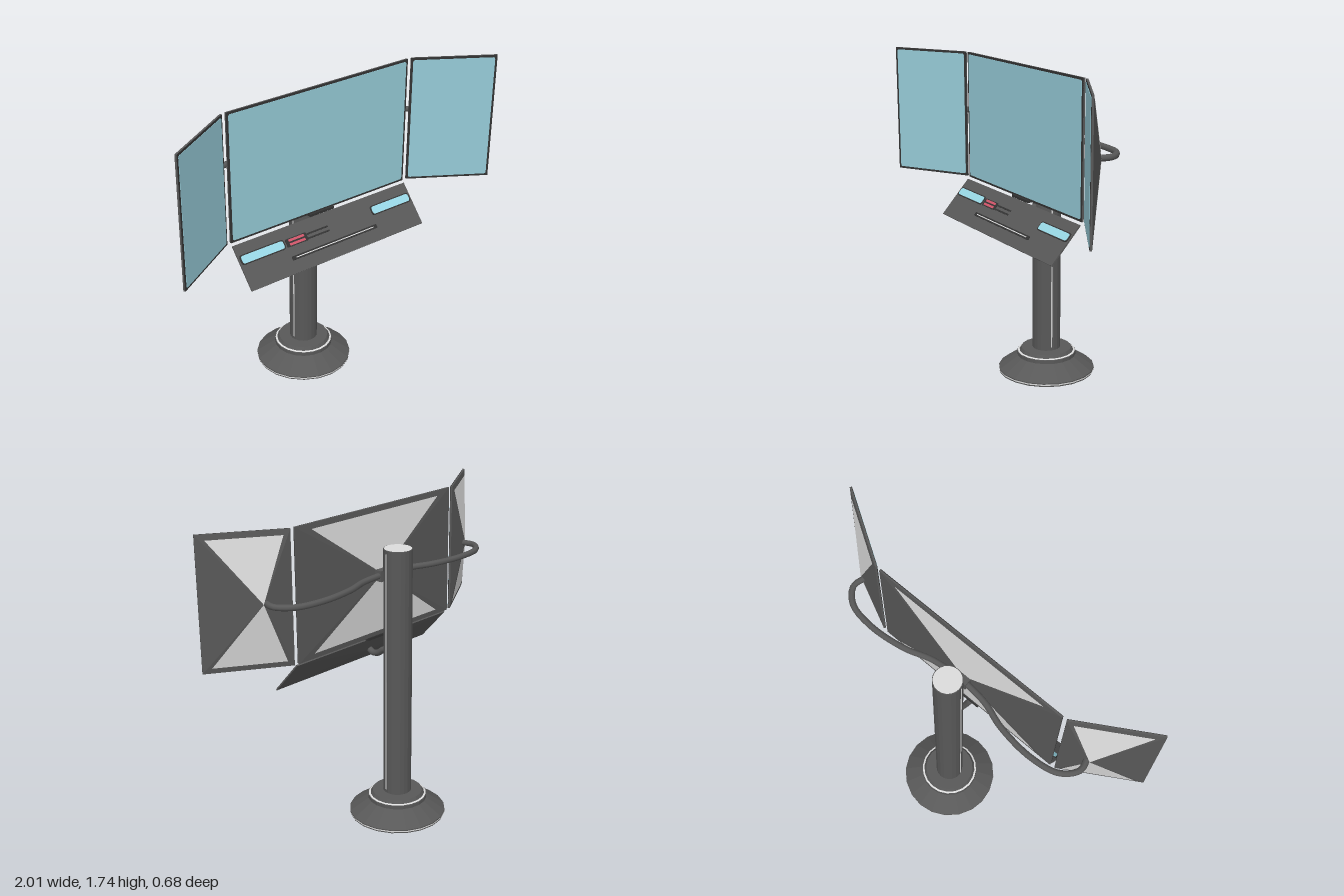
import * as THREE from 'three';

const mat = (name, color, side = THREE.FrontSide) => {
  const m = new THREE.MeshStandardMaterial({ color, side });
  m.name = name;
  return m;
};

export function createModel() {
  const root = new THREE.Group();
  root.name = 'monitorStand';
  const body = mat('dark grey', 0x585858);
  const trim = mat('black grey', 0x333333);
  const light = mat('light grey', 0xdcdcdc, THREE.DoubleSide);
  const screen = mat('screen blue', 0x96cbd7);
  const lamp = mat('lamp blue', 0x9bdcea);
  const red = mat('red', 0xd0566a);

  const add = (parent, name, geo, material, x = 0, y = 0, z = 0) => {
    const m = new THREE.Mesh(geo, material);
    m.name = name;
    m.position.set(x, y, z);
    parent.add(m);
    return m;
  };
  const flat = (geo) => {
    const g = geo.toNonIndexed();
    g.computeVertexNormals();
    return g;
  };
  const triangles = (points) => {
    const g = new THREE.BufferGeometry().setFromPoints(points);
    g.computeVertexNormals();
    return g;
  };
  // Rounded plate, centred, extruded along z
  const plate = (w, h, r, depth) => {
    const s = new THREE.Shape();
    const x = w / 2, y = h / 2;
    s.moveTo(-x + r, -y).lineTo(x - r, -y).quadraticCurveTo(x, -y, x, -y + r);
    s.lineTo(x, y - r).quadraticCurveTo(x, y, x - r, y);
    s.lineTo(-x + r, y).quadraticCurveTo(-x, y, -x, y - r);
    s.lineTo(-x, -y + r).quadraticCurveTo(-x, -y, -x + r, -y);
    return new THREE.ExtrudeGeometry(s, { depth, bevelEnabled: false, curveSegments: 4 });
  };

  // Thin slab whose back rises to a low pyramid; front face at local z = 0
  const slabCorners = (w, h, z) => [[-1, -1], [1, -1], [1, 1], [-1, 1]]
    .map(([x, y]) => new THREE.Vector3(x * w / 2, y * h / 2, z));
  const slab = (w, h, t, apex) => {
    const f = slabCorners(w, h, 0), b = slabCorners(w, h, -t);
    const pts = [f[0], f[1], f[2], f[0], f[2], f[3]];
    for (let i = 0; i < 4; i++) {
      const j = (i + 1) % 4;
      pts.push(f[i], b[i], b[j], f[i], b[j], f[j], b[i], apex, b[j]);
    }
    return triangles(pts);
  };

  // Monitor: housing, screen and two light triangles on the back
  const monitor = (name, w, h, apex) => {
    const g = new THREE.Group();
    g.name = name;
    const t = 0.01;
    add(g, 'housing', slab(w, h, t, apex), body);
    add(g, 'bezel', new THREE.BoxGeometry(w, h, 0.004), trim);
    add(g, 'screen', plate(w - 0.024, h - 0.024, 0.012, 0.003), screen, 0, 0, 0.001);
    const b = slabCorners(w, h, -t);
    const mix = (p, q) => new THREE.Vector3().addScaledVector(p, 0.87)
      .addScaledVector(q, 0.05).addScaledVector(apex, 0.08);
    for (const [i, j] of [[0, 1], [2, 3]]) {
      add(g, 'backTriangle', triangles([mix(b[i], b[j]), apex, mix(b[j], b[i])]), light, 0, 0, -0.002);
    }
    root.add(g);
    return g;
  };

  // Base and pole
  const zPole = -0.07;
  const profile = [[0, 0], [0.268, 0], [0.27, 0.02], [0.165, 0.092], [0.165, 0.112],
    [0.15, 0.117], [0.14, 0.135], [0, 0.137]].map(([r, y]) => new THREE.Vector2(r, y));
  add(root, 'base', flat(new THREE.LatheGeometry(profile, 20)), body, 0, 0, zPole);
  const ring = (name, r0, r1, y0, y1) => add(root, name, new THREE.LatheGeometry(
    [new THREE.Vector2(r0, y0), new THREE.Vector2(r1, y1)], 20), light, 0, 0, zPole);
  ring('baseRim', 0.271, 0.271, 0.008, 0.015);
  ring('collarRim', 0.162, 0.152, 0.1145, 0.118);
  add(root, 'pole', flat(new THREE.CylinderGeometry(0.078, 0.078, 1.41, 20)), body, 0, 0.84, zPole);
  const cap = add(root, 'poleCap', new THREE.CircleGeometry(0.074, 20), light, 0, 1.5465, zPole);
  cap.rotation.x = -Math.PI / 2;
  for (const s of [-1, 1]) {
    add(root, 'poleStripe', new THREE.BoxGeometry(0.004, 1.37, 0.006), light, s * 0.0765, 0.84, -0.056);
  }

  // Monitors
  monitor('mainMonitor', 1.154, 0.72, new THREE.Vector3(0, 0, -0.045)).position.set(0, 1.384, 0.09);
  for (const s of [-1, 1]) {
    const side = monitor(s > 0 ? 'leftMonitor' : 'rightMonitor', 0.468, 0.718,
      new THREE.Vector3(-s * 0.08, 0, -0.067));
    side.position.set(s * 0.8, 1.384, 0.2125);
    side.rotation.y = -s * 0.549;
  }

  // Arms
  const tube = (name, pts, r) => add(root, name, new THREE.TubeGeometry(
    new THREE.CatmullRomCurve3(pts.map((p) => new THREE.Vector3(...p))), 32, r, 8), body);
  for (const s of [-1, 1]) {
    tube('monitorArm', [[0, 0.03], [0.18, 0.008], [0.32, -0.037], [0.53, -0.06], [0.69, -0.03],
      [0.76, 0.05], [0.745, 0.125]].map(([x, z]) => [s * x, 1.385, z]), 0.017);
  }
  tube('consoleArm', [[0, 0.965, -0.02], [0, 0.955, 0.03], [0, 0.922, 0.08], [0, 0.915, 0.115],
    [0, 0.935, 0.155]], 0.018);
  add(root, 'mainMonitorMount', new THREE.BoxGeometry(0.1, 0.06, 0.05), body, 0, 1.385, 0.03);
  add(root, 'hinge', new THREE.BoxGeometry(0.16, 0.014, 0.03), trim, 0, 1.02, 0.088);

  // Tilted console with its controls
  const panel = new THREE.Group();
  panel.name = 'console';
  panel.position.set(0, 0.92, 0.187);
  panel.rotation.x = -0.737;
  root.add(panel);
  add(panel, 'consoleBody', slab(1.154, 0.25, 0.008, new THREE.Vector3(0, 0.03, -0.03)), body);
  for (const s of [-1, 1]) {
    add(panel, 'lampFrame', plate(0.278, 0.054, 0.018, 0.003), trim, s * 0.43, 0.04, 0);
    add(panel, 'lamp', plate(0.262, 0.042, 0.014, 0.005), lamp, s * 0.43, 0.04, 0);
    add(panel, 'redKey', plate(0.1, 0.013, 0.003, 0.006), red, -0.215, 0.038 + s * 0.011, 0);
    add(panel, 'groove', plate(0.14, 0.009, 0.002, 0.003), trim, -0.075, 0.036 + s * 0.012, 0);
  }
  add(panel, 'redKeyFrame', plate(0.135, 0.045, 0.006, 0.003), trim, -0.215, 0.038, 0);
  add(panel, 'slot', plate(0.57, 0.022, 0.004, 0.004), trim, 0, -0.046, 0);
  add(panel, 'slotEdge', plate(0.52, 0.005, 0.001, 0.005), light, 0, -0.046, 0);
  return root;
}
